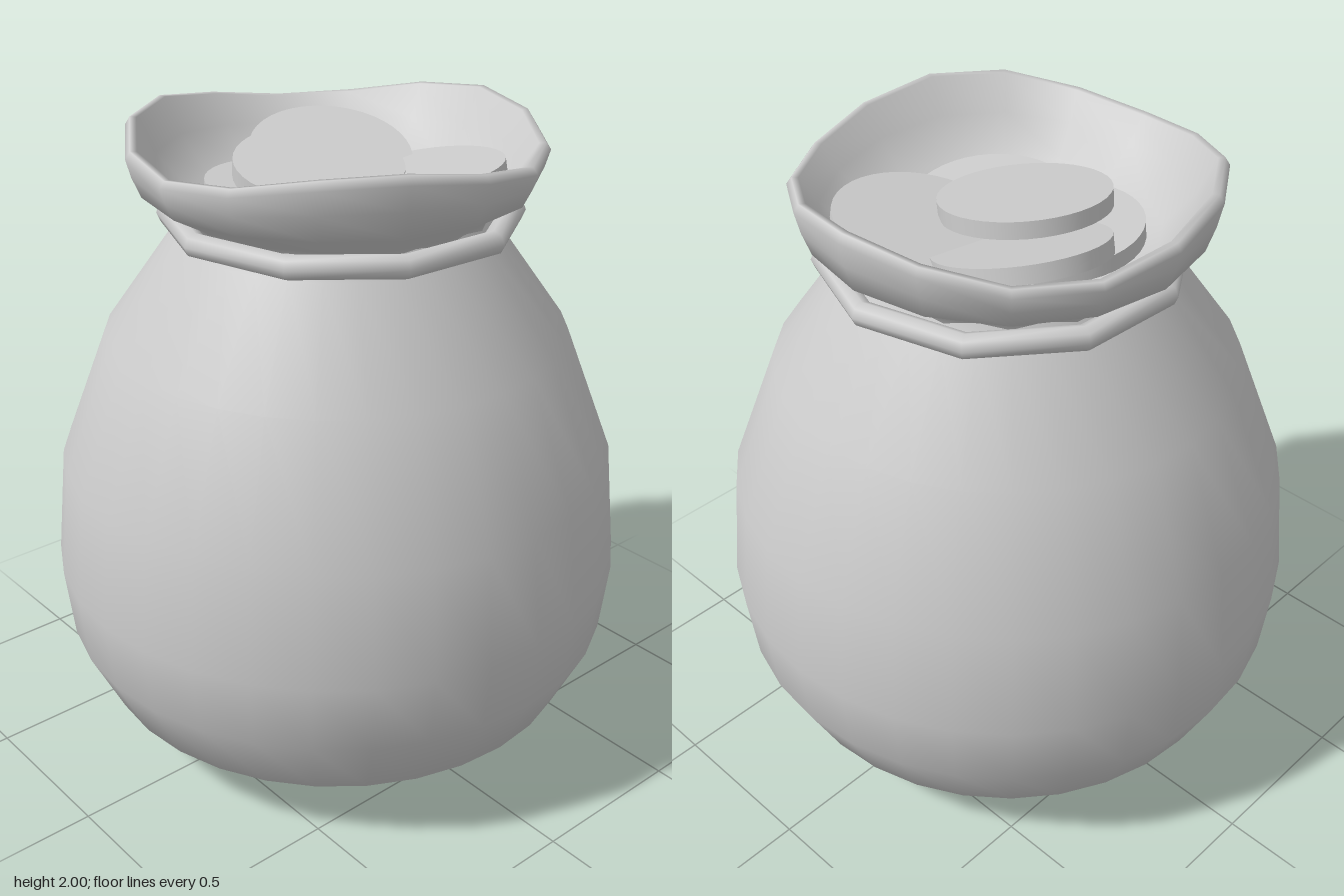
import * as THREE from 'three';
import { mergeVertices } from 'three/addons/utils/BufferGeometryUtils.js';

const material = new THREE.MeshStandardMaterial({ color: 0xcccccc });

function part(name, geometry, parent) {
  const mesh = new THREE.Mesh(geometry, material);
  mesh.name = name;
  parent.add(mesh);
  return mesh;
}

function lathe(profile, sides) {
  return new THREE.LatheGeometry(profile.map(([r, y]) => new THREE.Vector2(r, y)), sides);
}

// Gathered lip: a lathe whose rim rises and falls in three soft waves
function lipGeometry() {
  let g = lathe([
    [0.455, 1.70], [0.465, 1.75], [0.575, 1.815], [0.6, 1.88], [0.615, 1.94], [0.6, 1.962],
    [0.58, 1.96], [0.53, 1.87], [0.44, 1.78], [0.3, 1.71], [0, 1.69],
  ], 16);
  g.deleteAttribute('uv');
  g.deleteAttribute('normal');
  g = mergeVertices(g, 1e-4);
  const p = g.attributes.position;
  for (let i = 0; i < p.count; i++) {
    const y = p.getY(i);
    const angle = Math.atan2(p.getZ(i), p.getX(i));
    const weight = THREE.MathUtils.clamp((y - 1.8) / 0.15, 0, 1);
    p.setY(i, y + 0.036 * weight * Math.sin(3 * angle));
  }
  g.computeVertexNormals();
  return g;
}

export function createModel() {
  const sack = new THREE.Group();
  sack.name = 'coinSack';

  // Plump body, narrowing to the neck
  part('body', lathe([
    [0, 0], [0.08, 0.002], [0.61, 0.105], [0.765, 0.21], [0.865, 0.42], [0.888, 0.64],
    [0.852, 0.98], [0.7, 1.37], [0.485, 1.67], [0.455, 1.74],
  ], 32), sack);

  part('lip', lipGeometry(), sack);

  // Ten-sided cord tied round the neck
  const cord = part('neckCord', new THREE.TorusGeometry(0.51, 0.036, 8, 10), sack);
  cord.rotation.set(Math.PI / 2, 0, THREE.MathUtils.degToRad(21));
  cord.position.set(0, 1.715, -0.02);

  // Loose pile of tilted coins: x, y, z, then lean of the face along x and z
  const coins = new THREE.Group();
  coins.name = 'coins';
  sack.add(coins);
  const coinGeometry = new THREE.CylinderGeometry(0.25, 0.25, 0.05, 40);
  const up = new THREE.Vector3(0, 1, 0);
  [
    [-0.02, 1.85, 0.05, 0.17, 0.06],
    [0.14, 1.81, -0.21, -0.14, 0.1],
    [-0.18, 1.82, -0.13, 0.3, 0.12],
    [-0.11, 1.77, 0.09, 0.06, -0.06],
    [0.13, 1.755, 0.07, -0.05, -0.12],
  ].forEach(([x, y, z, leanX, leanZ], i) => {
    const coin = part('coin' + (i + 1), coinGeometry, coins);
    coin.position.set(x, y, z);
    coin.quaternion.setFromUnitVectors(up, new THREE.Vector3(leanX, 1, leanZ).normalize());
  });

  return sack;
}
